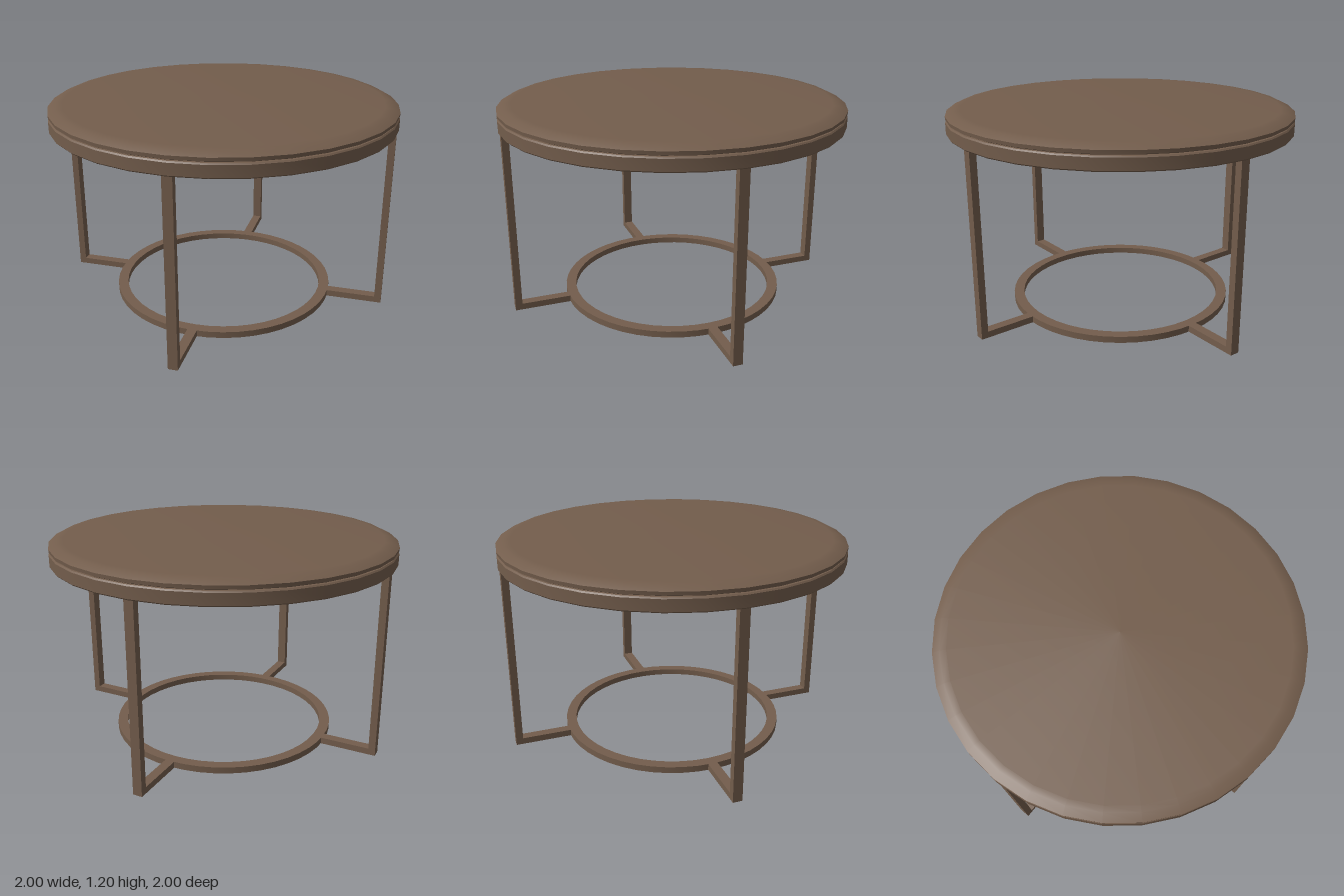
import * as THREE from 'three';
import { toCreasedNormals } from 'three/addons/utils/BufferGeometryUtils.js';

export function createModel() {
  const group = new THREE.Group();
  const wood = new THREE.MeshStandardMaterial({ color: 0x735d4c });
  wood.name = 'brown wood';

  const add = (name, geometry, parent = group) => {
    const mesh = new THREE.Mesh(geometry, wood);
    mesh.name = name;
    parent.add(mesh);
    return mesh;
  };

  // Turned part from [radius, height] pairs, listed bottom to top along the outside
  const turned = (name, profile, sides) => {
    const points = profile.map(([r, y]) => new THREE.Vector2(r, y));
    return add(name, toCreasedNormals(new THREE.LatheGeometry(points, sides), Math.PI / 6));
  };

  // Round top with a shallow bevelled edge
  turned('tableTop', [
    [0, 1.15], [0.985, 1.15], [0.998, 1.156], [1, 1.175],
    [0.955, 1.197], [0.92, 1.2], [0, 1.2],
  ], 32);

  // Hollow apron below the top
  turned('apron', [
    [0.955, 1.15], [0.955, 1.07], [0.993, 1.07], [1, 1.077],
    [1, 1.14], [0.993, 1.147], [0.955, 1.15],
  ], 32);

  // Flat floor ring
  turned('baseRing', [
    [0.605, 0.037], [0.605, 0], [0.665, 0], [0.665, 0.037], [0.605, 0.037],
  ], 48);

  // Four legs on the diagonals, each with a foot bar running in to the ring
  for (let i = 0; i < 4; i++) {
    const support = new THREE.Group();
    support.name = 'legSupport' + (i + 1);
    support.rotation.y = Math.PI / 4 + i * Math.PI / 2;
    add('leg', new THREE.BoxGeometry(0.055, 1.08, 0.04), support).position.set(0, 0.54, 0.97);
    add('footBar', new THREE.BoxGeometry(0.055, 0.037, 0.31), support).position.set(0, 0.0185, 0.805);
    group.add(support);
  }

  return group;
}
